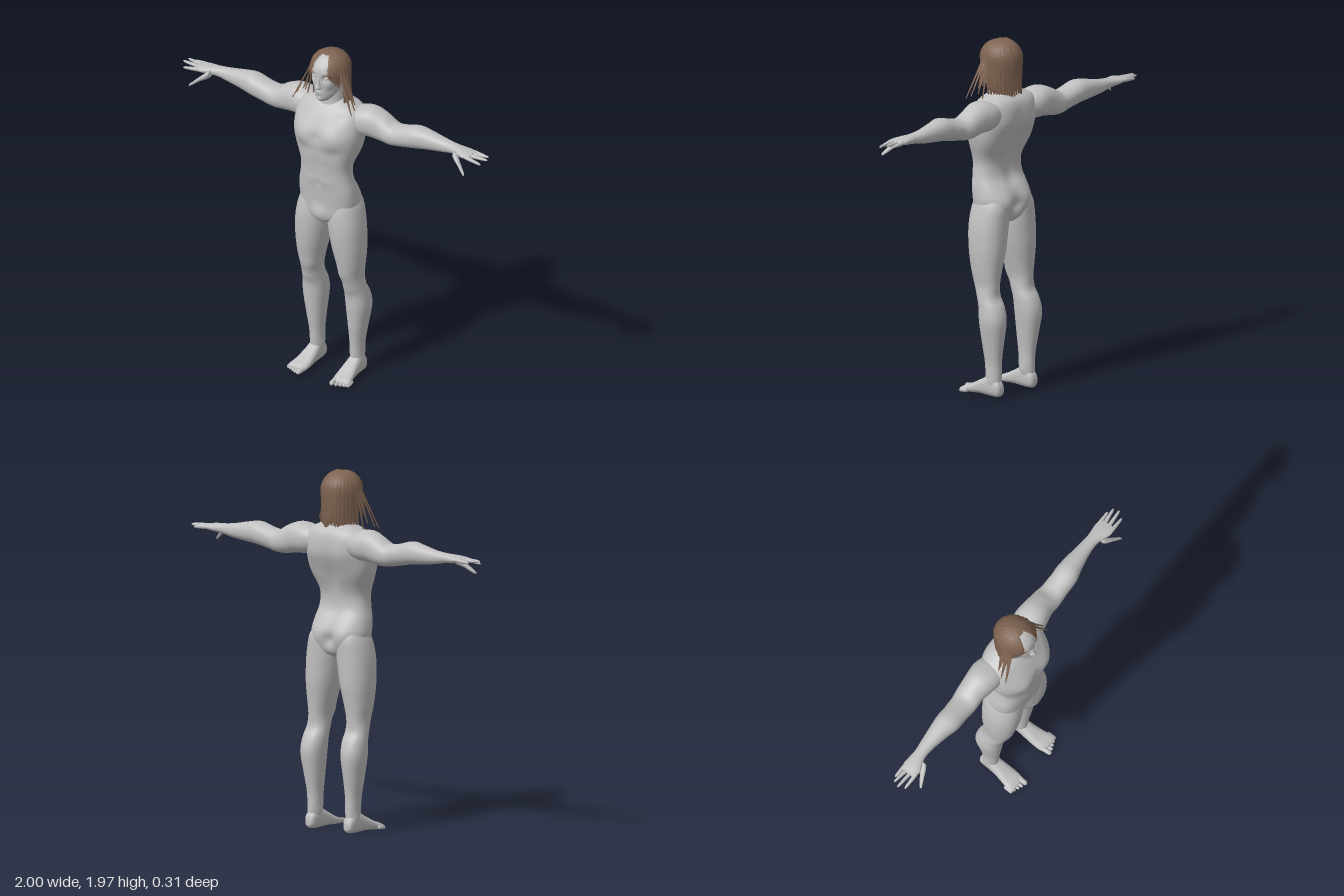
import * as THREE from 'three';
import { mergeGeometries } from 'three/addons/utils/BufferGeometryUtils.js';

const skin = new THREE.MeshStandardMaterial({ color: 0xc0c0c0 });
skin.name = 'grey skin';
const brown = new THREE.MeshStandardMaterial({ color: 0x7d6250, side: THREE.DoubleSide });
brown.name = 'brown hair';

// Smooth closed skin through cross-sections [t, uMin, uMax, vMin, vMax] along one axis.
// axis y: u = x, v = z;  axis x: u = z, v = y;  axis z: u = y, v = x
const place = { y: (t, u, v) => [u, t, v], x: (t, u, v) => [t, v, u], z: (t, u, v) => [v, u, t] };
function loft(axis, rows, { sides = 32, steps = 5, power = 2.2 } = {}) {
  const row = i => rows[Math.max(0, Math.min(rows.length - 1, i))];
  const sections = [];
  for (let i = 0; i < rows.length - 1; i++) {
    for (let s = 0; s < steps; s++) {
      const f = s / steps;
      sections.push(rows[0].map((_, k) => {
        const [a, b, c, d] = [row(i - 1)[k], row(i)[k], row(i + 1)[k], row(i + 2)[k]];
        return b + 0.5 * f * (c - a + f * (2 * a - 5 * b + 4 * c - d + f * (3 * (b - c) + d - a)));
      }));
    }
  }
  sections.push(row(rows.length));
  const pos = [], index = [];
  const bend = c => Math.sign(c) * Math.abs(c) ** (2 / power);
  for (const [t, u0, u1, v0, v1] of sections) {
    for (let j = 0; j < sides; j++) {
      const a = j / sides * Math.PI * 2;
      pos.push(...place[axis](t, (u0 + u1) / 2 + bend(Math.cos(a)) * (u1 - u0) / 2,
        (v0 + v1) / 2 + bend(Math.sin(a)) * (v1 - v0) / 2));
    }
  }
  const n = sections.length, mid = ([t, a, b, c, d]) => place[axis](t, (a + b) / 2, (c + d) / 2);
  pos.push(...mid(sections[0]), ...mid(sections[n - 1]));
  for (let j = 0; j < sides; j++) {
    const k = (j + 1) % sides, last = (n - 1) * sides;
    for (let i = 0; i < last; i += sides) {
      index.push(i + j, i + sides + j, i + k, i + k, i + sides + j, i + sides + k);
    }
    index.push(n * sides, j, k, n * sides + 1, last + k, last + j);
  }
  const geo = new THREE.BufferGeometry();
  geo.setAttribute('position', new THREE.Float32BufferAttribute(pos, 3));
  geo.setIndex(index);
  geo.computeVertexNormals();
  return geo;
}

// Swell (or hollow) the surface around points [x, y, z, radius, amount], the same on both sides
function sculpt(geo, bumps) {
  const p = geo.attributes.position, nor = geo.attributes.normal;
  const v = new THREE.Vector3(), n = new THREE.Vector3();
  for (let i = 0; i < p.count; i++) {
    v.fromBufferAttribute(p, i);
    n.fromBufferAttribute(nor, i);
    let push = 0;
    for (const [x, y, z, r, amount] of bumps) {
      const d2 = (Math.abs(v.x) - x) ** 2 + (v.y - y) ** 2 + (v.z - z) ** 2;
      push += amount * Math.exp(-d2 / (r * r));
    }
    v.addScaledVector(n, push);
    p.setXYZ(i, v.x, v.y, v.z);
  }
  geo.computeVertexNormals();
  return geo;
}

function mirrored(geo) {
  const m = geo.clone().scale(-1, 1, 1), a = m.index.array;
  for (let i = 0; i < a.length; i += 3) [a[i], a[i + 1]] = [a[i + 1], a[i]];
  m.computeVertexNormals();
  return m;
}

// Thin digit from a to b along an axis; coordinates are [t, u, v]
function digit(axis, a, b, r0, r1) {
  const rows = [[0, 0.9], [0.3, 1], [0.6, 0.95], [0.9, 0.85], [1, 0.25]].map(([f, k]) => {
    const [t, u, v] = a.map((q, i) => q + (b[i] - q) * f), r = (r0 + (r1 - r0) * f) * k;
    return [t, u - r, u + r, v - r, v + r];
  });
  return loft(axis, rows, { sides: 10, steps: 2, power: 2 });
}

// One lock: over the skull in direction a, then hanging to y = end, flaring outward
function lock(a, end, flare, width, lift, start = 0.12) {
  const pos = [], index = [], n = 14, dx = Math.sin(a), dz = Math.cos(a);
  for (let i = 0; i <= n; i++) {
    const f = i / n, over = Math.min(1, f / 0.55), hang = Math.max(0, (f - 0.55) / 0.45);
    const th = start + (1.5 - start) * over, s = Math.sin(th) + lift;
    const r = [0.104 * s, 0.117 * s];
    const y = 1.86 + (0.108 + lift * 0.05) * Math.cos(th);
    const w = width * Math.min(1, 0.35 + f * 2) * (1 - 0.85 * hang ** 2) / 2;
    for (const [side, rise] of [[-1, -0.003], [0, 0.003], [1, -0.003]]) {
      pos.push(dx * (r[0] + flare * hang + rise) + dz * w * side,
        y + (end - y) * hang, dz * (r[1] + flare * hang + rise) - dx * w * side - 0.005);
    }
    if (i < n) for (const k of [0, 1]) {
      const q = i * 3 + k;
      index.push(q, q + 3, q + 1, q + 1, q + 3, q + 4);
    }
  }
  const geo = new THREE.BufferGeometry();
  geo.setAttribute('position', new THREE.Float32BufferAttribute(pos, 3));
  geo.setIndex(index);
  geo.computeVertexNormals();
  return geo;
}

export function createModel() {
  const model = new THREE.Group();
  const add = (name, geo, mat = skin) => {
    const mesh = new THREE.Mesh(geo, mat);
    mesh.name = name;
    model.add(mesh);
  };
  const pair = (name, geo, mat) => {
    add('left' + name, geo, mat);
    add('right' + name, mirrored(geo), mat);
  };
  const even = rows => rows.map(([y, w, back, front]) => [y, -w, w, back, front]);

  // Torso with chest, belly, buttocks and a groove down the spine
  const torso = loft('y', even([
    [0.945, 0.03, -0.05, 0.06], [0.965, 0.08, -0.09, 0.092], [1.0, 0.15, -0.11, 0.103],
    [1.08, 0.175, -0.115, 0.106], [1.15, 0.168, -0.1, 0.112], [1.22, 0.156, -0.068, 0.118],
    [1.3, 0.152, -0.068, 0.122], [1.4, 0.183, -0.105, 0.135], [1.47, 0.2, -0.13, 0.14],
    [1.53, 0.205, -0.145, 0.133], [1.6, 0.2, -0.148, 0.1], [1.645, 0.175, -0.135, 0.068],
    [1.675, 0.115, -0.105, 0.04], [1.695, 0.06, -0.08, 0.02]]), { sides: 72, power: 2.4 });
  const bumps = [
    [0.09, 1.49, 0.13, 0.065, 0.016], [0.1, 1.405, 0.13, 0.04, -0.008], [0, 1.49, 0.14, 0.03, -0.008],
    [0.08, 1.07, -0.11, 0.07, 0.024], [0, 1.05, -0.115, 0.03, -0.022], [0, 1.01, 0.1, 0.04, 0.016],
    [0.1, 1.53, -0.14, 0.07, 0.01], [0.17, 1.42, -0.06, 0.07, 0.008], [0.15, 1.16, 0.05, 0.05, 0.006],
    [0, 1.2, 0.12, 0.02, -0.005], [0.12, 1.62, 0.08, 0.03, -0.005]];
  for (let y = 1.2; y < 1.62; y += 0.04) bumps.push([0, y, -0.1, 0.04, -0.01]);
  for (const y of [1.22, 1.29, 1.36]) bumps.push([0.04, y, 0.12, 0.032, 0.005]);
  add('torso', sculpt(torso, bumps));
  add('neck', loft('y', even([[1.6, 0.1, -0.115, 0.06], [1.66, 0.082, -0.09, 0.053],
    [1.7, 0.074, -0.085, 0.05], [1.78, 0.07, -0.08, 0.05]])));

  // Arms reaching straight out
  pair('Arm', sculpt(loft('x', [
    [0.1, -0.12, 0.02, 1.53, 1.635], [0.18, -0.145, 0.035, 1.5, 1.662], [0.25, -0.142, 0.025, 1.497, 1.668],
    [0.32, -0.135, 0.006, 1.488, 1.642], [0.38, -0.13, 0.003, 1.487, 1.608], [0.44, -0.122, 0.005, 1.495, 1.615],
    [0.53, -0.125, 0.008, 1.512, 1.638], [0.6, -0.12, -0.01, 1.521, 1.63], [0.7, -0.11, -0.03, 1.533, 1.61],
    [0.77, -0.102, -0.033, 1.546, 1.601], [0.82, -0.105, -0.018, 1.55, 1.597],
    [0.86, -0.108, -0.004, 1.556, 1.592], [0.9, -0.1, -0.012, 1.562, 1.584]], { sides: 36 }),
  [[0.37, 1.55, 0, 0.06, 0.008], [0.34, 1.53, -0.13, 0.06, 0.006], [0.44, 1.57, -0.12, 0.03, 0.005]]));
  const tips = [[0.955, -0.098, 1.568], [0.985, -0.083, 1.577], [0.998, -0.051, 1.575], [0.975, -0.018, 1.556]];
  const fingers = tips.map((tip, i) => digit('x', [0.87, -0.094 + i * 0.026, 1.574], tip, 0.0125, 0.008));
  fingers.push(digit('x', [0.8, -0.025, 1.567], [0.86, 0.012, 1.527], 0.024, 0.015));
  fingers.push(digit('x', [0.845, 0.003, 1.537], [0.903, 0.034, 1.49], 0.0155, 0.009));
  pair('Fingers', mergeGeometries(fingers));

  // Legs
  pair('Leg', sculpt(loft('y', [
    [0.04, 0.103, 0.165, -0.118, -0.03], [0.12, 0.094, 0.168, -0.12, -0.025], [0.2, 0.093, 0.172, -0.122, -0.02],
    [0.3, 0.085, 0.188, -0.136, -0.008], [0.42, 0.073, 0.207, -0.152, 0.004], [0.5, 0.07, 0.203, -0.135, 0.01],
    [0.56, 0.074, 0.195, -0.106, 0.025], [0.62, 0.074, 0.19, -0.1, 0.05], [0.7, 0.055, 0.2, -0.106, 0.072],
    [0.8, 0.03, 0.208, -0.118, 0.09], [0.9, 0.013, 0.207, -0.122, 0.1], [0.98, 0.006, 0.198, -0.124, 0.1],
    [1.06, 0.015, 0.178, -0.122, 0.088], [1.13, 0.045, 0.145, -0.09, 0.06]], { sides: 40 }),
  [[0.13, 0.55, 0.02, 0.04, 0.008], [0.1, 0.64, 0.04, 0.04, 0.007], [0.14, 0.55, -0.11, 0.04, -0.006],
    [0.1, 0.1, -0.07, 0.02, 0.006], [0.168, 0.085, -0.075, 0.02, 0.006]]));

  // Feet and toes
  pair('Foot', loft('z', [
    [-0.132, 0.02, 0.055, 0.115, 0.15], [-0.115, 0.003, 0.09, 0.101, 0.164], [-0.06, 0, 0.118, 0.096, 0.17],
    [0, 0.004, 0.088, 0.09, 0.178], [0.06, 0.002, 0.056, 0.087, 0.19], [0.1, 0, 0.04, 0.09, 0.2],
    [0.122, 0.004, 0.028, 0.1, 0.196]], { power: 2.5 }));
  pair('Toes', mergeGeometries([0, 1, 2, 3, 4].map(i => {
    const r = i ? 0.0115 : 0.016, x = i ? 0.11 + i * 0.0205 : 0.106;
    return digit('z', [0.085 - i * 0.004, r + 0.006, x], [0.156 - i * 0.009, r, x + 0.004], r, r * 0.9);
  })));

  // Head: jaw, cheeks, eye sockets, lips and chin
  const head = loft('y', even([
    [1.698, 0.026, 0.01, 0.085], [1.715, 0.045, -0.02, 0.103], [1.75, 0.066, -0.06, 0.108],
    [1.8, 0.078, -0.09, 0.109], [1.86, 0.085, -0.105, 0.112], [1.91, 0.083, -0.105, 0.1],
    [1.95, 0.055, -0.075, 0.06], [1.962, 0.02, -0.03, 0.02]]), { sides: 96, steps: 8, power: 2.1 });
  add('head', sculpt(head, [
    [0.034, 1.845, 0.1, 0.019, -0.014], [0.035, 1.872, 0.105, 0.016, 0.004], [0.055, 1.81, 0.08, 0.025, 0.004],
    [0, 1.762, 0.11, 0.013, 0.006], [0.01, 1.75, 0.11, 0.012, 0.004], [0, 1.736, 0.108, 0.01, -0.004],
    [0, 1.717, 0.105, 0.018, 0.007], [0.055, 1.765, 0.08, 0.025, -0.005]]));
  add('nose', loft('y', even([[1.776, 0.008, 0.09, 0.112], [1.783, 0.019, 0.09, 0.125],
    [1.793, 0.018, 0.09, 0.134], [1.81, 0.012, 0.09, 0.127], [1.84, 0.009, 0.09, 0.116],
    [1.872, 0.012, 0.09, 0.109]]), { sides: 20, power: 2 }));
  const ball = (x, y, z, sx, sy, sz) => new THREE.SphereGeometry(1, 20, 14).scale(sx, sy, sz).translate(x, y, z);
  pair('Eye', ball(0.034, 1.845, 0.087, 0.016, 0.01, 0.013));
  pair('Ear', ball(0.086, 1.82, -0.005, 0.009, 0.032, 0.018));
  pair('Eyebrow', ball(0.037, 1.868, 0.1, 0.019, 0.003, 0.008), brown);

  // Hair: scalp shell, back curtain and layered locks
  add('scalpHair', new THREE.SphereGeometry(1, 40, 16, 0, Math.PI * 2, 0, 1.22)
    .scale(0.104, 0.106, 0.116).translate(0, 1.86, -0.004), brown);
  add('backHair', new THREE.CylinderGeometry(0.98, 0.88, 0.21, 32, 4, true, Math.PI * 0.52, Math.PI * 0.96)
    .scale(0.104, 1, 0.116).translate(0, 1.795, -0.005), brown);
  const locks = [];
  for (let i = 0; i < 44; i++) {
    const a = Math.PI * (0.47 + 1.06 * i / 43), wave = Math.sin(i * 12.9) * 0.5 + 0.5;
    locks.push(lock(a, 1.645 + wave * 0.035, -0.012 + 0.012 * wave, 0.026, 0.01 + 0.05 * ((i * 7) % 5) / 5));
  }
  for (const side of [-1, 1]) {
    // Loose flared locks beside the face
    for (let i = 0; i < 7; i++) {
      locks.push(lock(side * (1.2 + i * 0.075), 1.655 + (i * 3 % 5) * 0.017,
        [0.1, 0.03, 0.085, 0.02, 0.06, 0.04, 0.01][i], 0.022, 0.04 + (i % 3) * 0.015));
    }
    // Short fringe swept from the parting
    for (let i = 0; i < 6; i++) locks.push(lock(side * (0.62 + i * 0.1), 1.84 - i * 0.012, -0.004, 0.022, 0.03));
  }
  add('hairLocks', mergeGeometries(locks), brown);
  return model;
}
